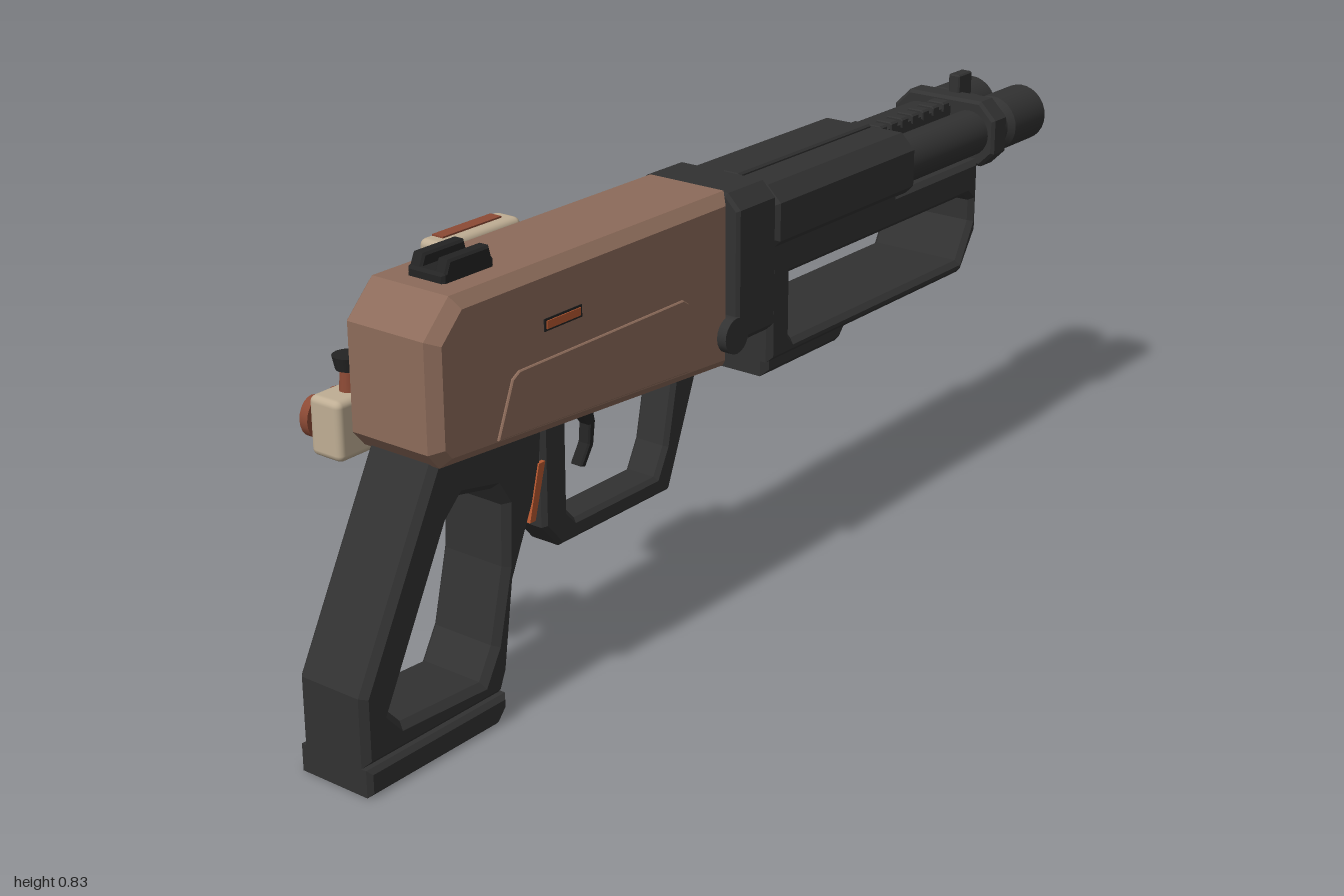
import * as THREE from 'three';
import { RoundedBoxGeometry } from 'three/addons/geometries/RoundedBoxGeometry.js';

const CZ = 0.037; // z of the centre plane

export function createModel() {
  const root = new THREE.Group();
  const mat = (name, color) => {
    const m = new THREE.MeshStandardMaterial({ color });
    m.name = name;
    return m;
  };
  const gunmetal = mat('gunmetal', 0x323232);
  const black = mat('black', 0x242424);
  const brown = mat('brown', 0x8c6b5a);
  const cream = mat('cream', 0xbfae94);
  const rust = mat('rust', 0x8c4a35);
  const orange = mat('orange', 0xb4572f);

  const add = (name, geo, material, x = 0, y = 0, z = 0) => {
    const m = new THREE.Mesh(geo, material);
    m.name = name;
    m.position.set(x, y, z);
    root.add(m);
    return m;
  };
  const vec = (pts) => pts.map(([x, y]) => new THREE.Vector2(x, y));

  // Side outline extruded across z, with chamfered edges inside the given width
  const slab = (name, pts, width, bevel, material, z = CZ, hole = null) => {
    const shape = new THREE.Shape(vec(pts));
    if (hole) shape.holes.push(new THREE.Path(vec(hole)));
    const geo = new THREE.ExtrudeGeometry(shape, {
      depth: width - 2 * bevel, bevelEnabled: bevel > 0, bevelSegments: 1,
      bevelSize: bevel, bevelThickness: bevel, bevelOffset: -bevel, curveSegments: 8,
    });
    geo.translate(0, 0, bevel - width / 2);
    return add(name, geo, material, 0, 0, z);
  };

  // Chamfered cross-section extruded along x
  const bar = (name, x0, x1, y0, y1, half, cTop, cBottom, material, bevel = 0.006) => {
    const pts = [[-half, y0 + cBottom], [-half + cBottom, y0], [half - cBottom, y0], [half, y0 + cBottom],
      [half, y1 - cTop], [half - cTop, y1], [-half + cTop, y1], [-half, y1 - cTop]];
    const geo = new THREE.ExtrudeGeometry(new THREE.Shape(vec(pts)), {
      depth: x1 - x0 - 2 * bevel, bevelSegments: 1, bevelSize: bevel, bevelThickness: bevel, bevelOffset: -bevel,
    });
    geo.translate(0, 0, bevel);
    geo.rotateY(Math.PI / 2);
    return add(name, geo, material, x0, 0, CZ);
  };
  const box = (name, x0, x1, y0, y1, z0, z1, material) =>
    add(name, new THREE.BoxGeometry(x1 - x0, y1 - y0, z1 - z0), material, (x0 + x1) / 2, (y0 + y1) / 2, (z0 + z1) / 2);
  const rounded = (name, x0, x1, y0, y1, z0, z1, r, material) =>
    add(name, new RoundedBoxGeometry(x1 - x0, y1 - y0, z1 - z0, 2, r), material, (x0 + x1) / 2, (y0 + y1) / 2, (z0 + z1) / 2);
  const zCylinder = (name, r, x, y, z0, z1, material) => {
    const geo = new THREE.CylinderGeometry(r, r, z1 - z0, 20);
    geo.rotateX(Math.PI / 2);
    return add(name, geo, material, x, y, (z0 + z1) / 2);
  };

  // Receiver with raised side panels
  slab('receiver', [[-0.84, 0.545], [-0.815, 0.515], [-0.07, 0.465], [-0.07, 0.795], [-0.78, 0.795], [-0.84, 0.735]],
    0.205, 0.02, brown);
  const panel = [[-0.7, 0.53], [-0.2, 0.497], [-0.2, 0.625], [-0.215, 0.635], [-0.645, 0.635], [-0.662, 0.625]];
  for (const s of [-1, 1]) slab('receiverPanel', panel, 0.008, 0.002, brown, CZ + s * 0.103);
  box('slotFrame', -0.58, -0.485, 0.682, 0.704, 0.137, 0.141, black);
  box('slotInlay', -0.575, -0.49, 0.686, 0.7, 0.138, 0.143, orange);

  // Collar, shroud and pivot pin
  bar('collar', -0.075, 0.04, 0.51, 0.792, 0.12, 0.028, 0.015, gunmetal);
  bar('barrelShroud', 0.04, 0.51, 0.655, 0.777, 0.118, 0.03, 0.02, gunmetal, 0.015);
  bar('shroudSpine', 0.06, 0.49, 0.77, 0.784, 0.02, 0.004, 0, gunmetal, 0.002);
  bar('shroudCore', 0.04, 0.46, 0.64, 0.7, 0.105, 0.005, 0.005, gunmetal);
  zCylinder('pivotPin', 0.034, -0.08, 0.533, CZ - 0.122, CZ + 0.122, gunmetal);

  // Twin barrels with hollow muzzles
  const barrelProfile = [[0.047, 0.45], [0.047, 0.865], [0.058, 0.878], [0.058, 0.995], [0.055, 1.0],
    [0.049, 1.0], [0.047, 0.995], [0.047, 0.88], [0, 0.88]];
  for (const s of [-1, 1]) {
    const parts = [];
    // each run is a separate lathe so the steps stay crisp
    for (let i = 0; i < barrelProfile.length - 1; i++) parts.push([barrelProfile[i], barrelProfile[i + 1]]);
    for (const run of parts) {
      const geo = new THREE.LatheGeometry(vec(run), 28);
      geo.rotateZ(-Math.PI / 2);
      add('barrel', geo, gunmetal, 0, 0.707, CZ + s * 0.06);
    }
  }
  box('barrelRib', 0.5, 0.8, 0.69, 0.757, CZ - 0.016, CZ + 0.016, gunmetal);
  for (let i = 0; i < 7; i++) {
    const x = 0.525 + i * 0.038;
    bar('ribTooth', x, x + 0.024, 0.75, 0.77, 0.02, 0.004, 0, gunmetal, 0.002);
  }
  bar('barrelBand', 0.787, 0.84, 0.64, 0.775, 0.12, 0.035, 0.03, gunmetal);
  bar('bandClamp', 0.838, 0.875, 0.66, 0.765, 0.04, 0.01, 0.01, gunmetal, 0.004);
  bar('frontSight', 0.822, 0.872, 0.74, 0.812, 0.013, 0.003, 0, gunmetal, 0.003);

  // Rear sight: base and two ears
  bar('rearSightBase', -0.745, -0.625, 0.79, 0.812, 0.04, 0.003, 0, black, 0.005);
  for (const s of [-1, 1]) {
    const z = CZ + s * 0.027;
    slab('rearSightEar', [[-0.745, 0.795], [-0.625, 0.795], [-0.635, 0.832], [-0.73, 0.832]], 0.026, 0.004, black, z);
  }

  // Foregrip loop with a deeper rear underside
  slab('foregrip', [[0.045, 0.438], [0.707, 0.438], [0.76, 0.518], [0.76, 0.665], [0.045, 0.665]], 0.21, 0.01, gunmetal, CZ,
    [[0.11, 0.478], [0.122, 0.465], [0.697, 0.465], [0.738, 0.54], [0.738, 0.583], [0.72, 0.598], [0.11, 0.598]]);
  slab('foregripHeel', [[0.045, 0.408], [0.29, 0.408], [0.317, 0.438], [0.317, 0.45], [0.045, 0.45]], 0.188, 0.012, gunmetal);

  // Trigger guard and trigger
  slab('triggerGuard', [[-0.515, 0.5], [-0.515, 0.288], [-0.473, 0.24], [-0.168, 0.24], [-0.077, 0.47], [-0.077, 0.5],
    [-0.14, 0.5], [-0.152, 0.465], [-0.18, 0.33], [-0.207, 0.278], [-0.43, 0.278], [-0.451, 0.3], [-0.451, 0.5]],
  0.075, 0.008, gunmetal);
  slab('trigger', [[-0.385, 0.5], [-0.385, 0.455], [-0.363, 0.425], [-0.366, 0.39], [-0.388, 0.355], [-0.375, 0.35],
    [-0.352, 0.385], [-0.346, 0.43], [-0.352, 0.455], [-0.352, 0.5]], 0.026, 0.003, black);

  // Skeleton pistol grip with base plate and side accents
  slab('pistolGrip', [[-1.0, 0.05], [-0.672, 0.05], [-0.655, 0.09], [-0.632, 0.25], [-0.56, 0.41], [-0.55, 0.52], [-0.81, 0.535], [-1.0, 0.176]],
    0.15, 0.012, gunmetal, CZ,
    [[-0.937, 0.128], [-0.91, 0.098], [-0.72, 0.088], [-0.688, 0.144], [-0.656, 0.278], [-0.652, 0.39],
      [-0.675, 0.427], [-0.755, 0.443], [-0.79, 0.41]]);
  slab('gripBasePlate', [[-1.0, 0.0], [-0.69, 0.0], [-0.668, 0.025], [-0.668, 0.05], [-1.0, 0.05]], 0.162, 0.008, gunmetal);
  for (const s of [-1, 1])
    slab('gripAccent', [[-0.598, 0.34], [-0.584, 0.34], [-0.556, 0.44], [-0.572, 0.44]], 0.008, 0, orange, CZ + s * 0.074);

  // Side lens unit on the back of the receiver
  rounded('lensHousing', -0.6, -0.402, 0.708, 0.796, -0.118, -0.06, 0.012, cream);
  box('lensTopInlay', -0.575, -0.43, 0.792, 0.799, -0.108, -0.083, rust);
  slab('lensFrame', [[-0.575, 0.74], [-0.56, 0.724], [-0.445, 0.724], [-0.43, 0.74], [-0.43, 0.768], [-0.445, 0.782], [-0.56, 0.782], [-0.575, 0.768]],
    0.03, 0.008, cream, -0.122);
  const oval = new THREE.CylinderGeometry(0.05, 0.05, 0.006, 24);
  oval.rotateX(Math.PI / 2).scale(1, 0.42, 1);
  add('lens', oval, black, -0.502, 0.753, -0.137);

  // Slide lever on the back of the receiver
  rounded('leverRail', -0.38, -0.21, 0.6, 0.648, -0.087, -0.06, 0.005, black);
  box('leverTab', -0.33, -0.26, 0.612, 0.636, -0.093, -0.08, gunmetal);

  // Adjuster block with a knob on top and a two-lobed dial
  rounded('adjusterBlock', -0.856, -0.745, 0.488, 0.594, -0.13, -0.06, 0.012, cream);
  add('knobStem', new THREE.CylinderGeometry(0.014, 0.018, 0.045, 16), rust, -0.797, 0.612, -0.092);
  add('knob', new THREE.CylinderGeometry(0.027, 0.022, 0.024, 16), black, -0.797, 0.643, -0.092);
  zCylinder('dialNeck', 0.022, -0.798, 0.541, -0.139, -0.125, black);
  for (const s of [-1, 1]) {
    const lobe = zCylinder('dialLobe', 0.03, -0.798 + s * 0.024, 0.541, -0.156, -0.138, rust);
    lobe.scale.y = 1.2;
  }
  zCylinder('dialPin', 0.009, -0.798, 0.541, -0.162, -0.15, black);

  // Lathe strips and thin parts are visible from both faces
  gunmetal.side = THREE.DoubleSide;
  return root;
}
